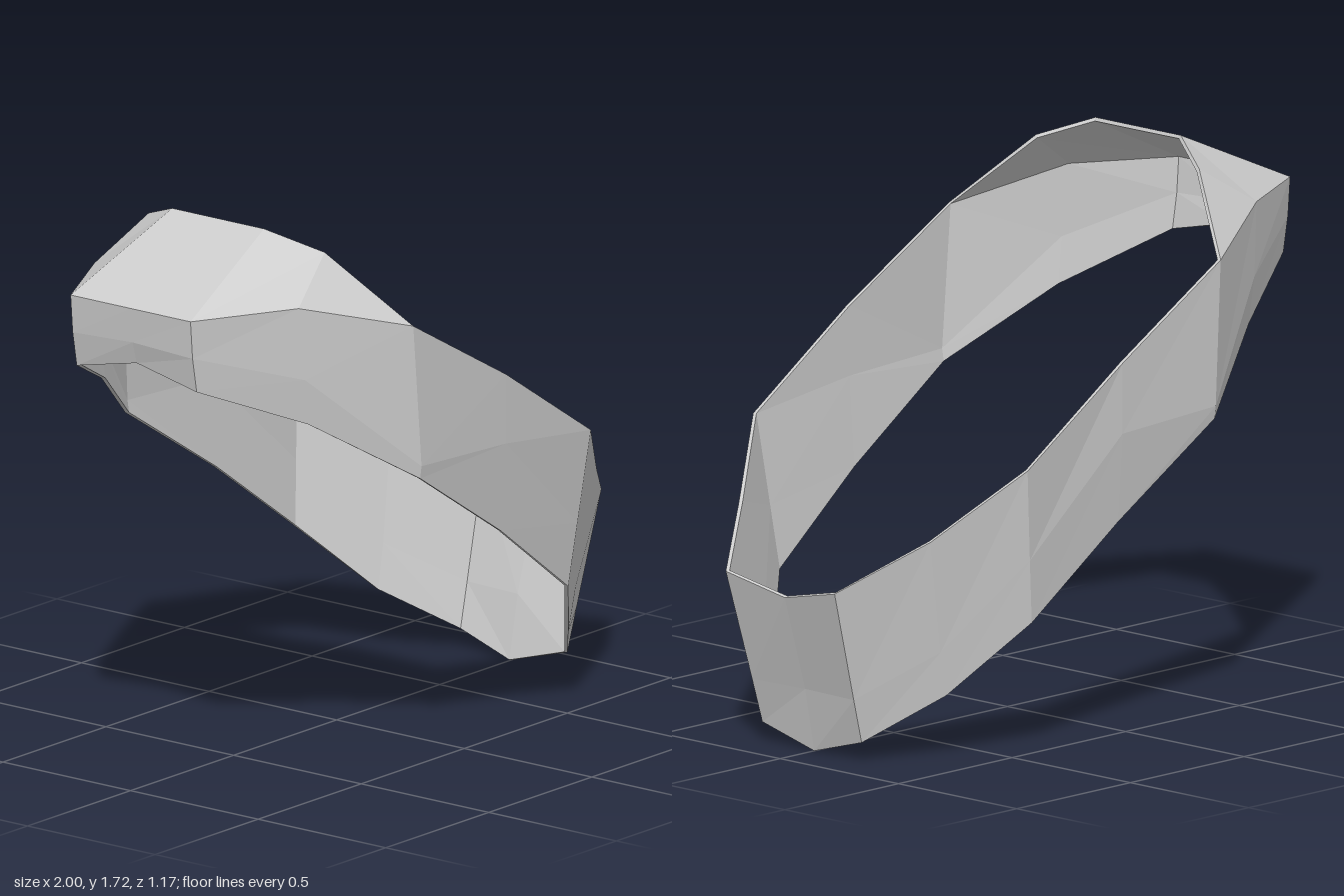
import * as THREE from 'three';

// Half of the band, from the low end (+x) round to the high end (-x).
// Each column: bottom, middle, top and, at the high end, hood rim.
const HALF = [
  [[0.85, 0, 0], [0.89, 0.2, 0], [0.98, 0.5, 0]],
  [[0.86, 0.06, 0.21], [0.9, 0.2, 0.215], [1, 0.55, 0.23]],
  [[0.66, 0.2, 0.375], [0.69, 0.34, 0.38], [0.76, 0.7, 0.405]],
  [[0.455, 0.42, 0.54], [0.48, 0.62, 0.556], [0.515, 0.91, 0.58]],
  [[0.1, 0.68, 0.562], [0.1, 0.96, 0.583], [0.1, 1.18, 0.583]],
  [[-0.31, 0.94, 0.578], [-0.31, 0.98, 0.583], [-0.34, 1.43, 0.575]],
  [[-0.64, 1.155, 0.405], [-0.66, 1.3, 0.41], [-0.68, 1.53, 0.4], [-0.485, 1.655, 0.345]],
  [[-0.97, 1.3, 0.235], [-0.99, 1.41, 0.235], [-1, 1.53, 0.235], [-0.575, 1.72, 0.18]],
  [[-0.97, 1.35, 0], [-0.99, 1.42, 0], [-1, 1.53, 0], [-0.575, 1.72, 0]],
];
const THICKNESS = 0.012;

function bandGeometry() {
  const mirrored = HALF.slice(1, -1).reverse()
    .map(col => col.map(([x, y, z]) => [x, y, -z]));
  const columns = [...HALF, ...mirrored];
  const points = [];
  // Columns without a hood reuse their top vertex as the rim
  const ids = columns.map(col => {
    const out = col.map(p => points.push(new THREE.Vector3(...p)) - 1);
    if (out.length < 4) out.push(out[2]);
    return out;
  });

  // Outer skin
  const outer = [];
  const tri = (list, a, b, c) => {
    if (a !== b && b !== c && a !== c) list.push(a, b, c);
  };
  const n = ids.length;
  for (let i = 0; i < n; i++) {
    const a = ids[i], b = ids[(i + 1) % n];
    for (let r = 0; r < 3; r++) {
      tri(outer, a[r], a[r + 1], b[r]);
      tri(outer, b[r], a[r + 1], b[r + 1]);
    }
  }
  const skin = new THREE.BufferGeometry().setFromPoints(points);
  skin.setIndex(outer);
  skin.computeVertexNormals();

  // Inner skin, offset along the normals and facing inwards
  const count = points.length;
  const normal = new THREE.Vector3();
  const inner = points.map((p, i) => {
    normal.fromBufferAttribute(skin.attributes.normal, i);
    return p.clone().addScaledVector(normal, -THICKNESS);
  });
  const index = [...outer];
  for (let i = 0; i < outer.length; i += 3) {
    index.push(outer[i] + count, outer[i + 2] + count, outer[i + 1] + count);
  }

  // Thin rims joining the two skins
  for (let i = 0; i < n; i++) {
    const a = ids[i], b = ids[(i + 1) % n];
    index.push(a[0], b[0], a[0] + count, b[0], b[0] + count, a[0] + count);
    index.push(a[3], a[3] + count, b[3], b[3], a[3] + count, b[3] + count);
  }
  const geometry = new THREE.BufferGeometry().setFromPoints([...points, ...inner]);
  geometry.setIndex(index);
  const flat = geometry.toNonIndexed();
  flat.computeVertexNormals();
  return flat;
}

export function createModel() {
  const group = new THREE.Group();
  group.name = 'tiltedBand';
  const band = new THREE.Mesh(
    bandGeometry(),
    new THREE.MeshStandardMaterial({ color: 0xcccccc, flatShading: true, side: THREE.DoubleSide })
  );
  band.name = 'hoodedBand';
  group.add(band);
  return group;
}
